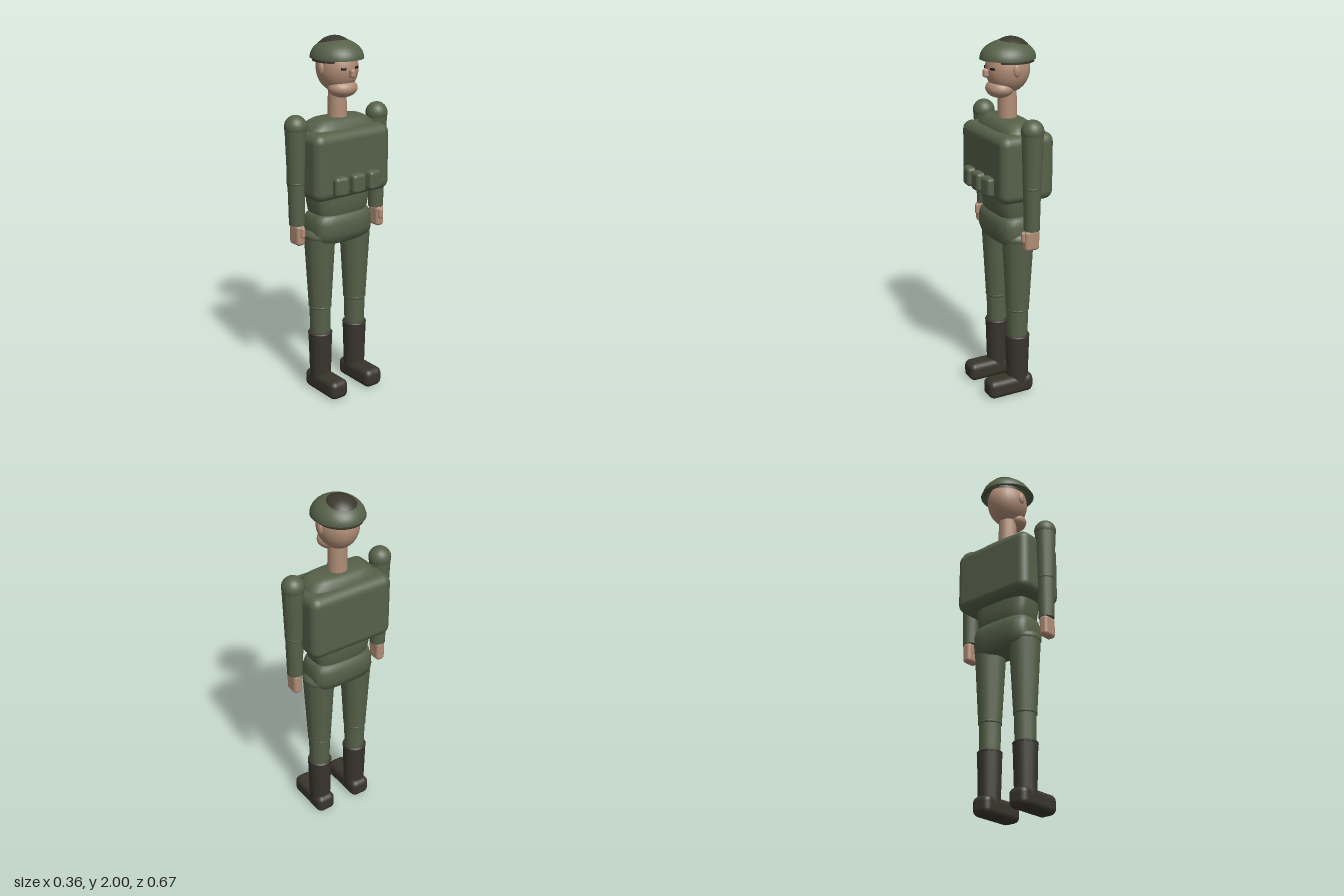
import * as THREE from 'three';
import { RoundedBoxGeometry } from 'three/addons/geometries/RoundedBoxGeometry.js';

const paint = (name, color) => {
  const m = new THREE.MeshStandardMaterial({ color });
  m.name = name;
  return m;
};

// Closed body from rows of [y, centreX, radiusX, radiusZ] with squarish cross-sections
function loft(rows, squareness = 0.6, sides = 24) {
  const pos = [], idx = [];
  const power = (v) => Math.sign(v) * Math.pow(Math.abs(v), squareness);
  for (const [y, cx, rx, rz] of rows) {
    for (let j = 0; j < sides; j++) {
      const a = (j / sides) * Math.PI * 2;
      pos.push(cx + rx * power(Math.cos(a)), y, rz * power(Math.sin(a)));
    }
  }
  for (let i = 0; i < rows.length - 1; i++) {
    for (let j = 0; j < sides; j++) {
      const a = i * sides + j, b = i * sides + (j + 1) % sides;
      idx.push(a, a + sides, b, b, a + sides, b + sides);
    }
  }
  const g = new THREE.BufferGeometry();
  g.setAttribute('position', new THREE.Float32BufferAttribute(pos, 3));
  g.setIndex(idx);
  g.computeVertexNormals();
  return g;
}

export function createModel() {
  const root = new THREE.Group();
  root.name = 'soldier';
  const green = paint('uniform green', 0x566149);
  const skin = paint('skin', 0xb08d76);
  const hairMat = paint('dark hair', 0x3a372d);
  const boot = paint('boot leather', 0x38352c);
  const dark = paint('eye black', 0x1c1a18);
  const CX = -0.023;

  const add = (name, geo, mat, x, y, z, parent = root) => {
    const m = new THREE.Mesh(geo, mat);
    m.name = name;
    m.position.set(x, y, z);
    parent.add(m);
    return m;
  };
  const ball = (name, mat, x, y, z, rx, ry, rz, parent = root) => {
    const m = add(name, new THREE.SphereGeometry(1, 24, 16), mat, x, y, z, parent);
    m.scale.set(rx, ry, rz);
    return m;
  };
  const box = (name, mat, x, y, z, w, h, d, r, parent = root) =>
    add(name, new RoundedBoxGeometry(w, h, d, 3, r), mat, x, y, z, parent);
  const limb = (name, mat, x, z, y0, y1, r0, r1, parent = root) =>
    add(name, new THREE.CylinderGeometry(r1, r0, y1 - y0, 14), mat, x, (y0 + y1) / 2, z, parent);

  // Head
  const head = new THREE.Group();
  head.name = 'head';
  root.add(head);
  ball('skull', skin, -0.025, 1.835, 0, 0.122, 0.13, 0.108, head);
  ball('jaw', skin, 0.023, 1.733, 0, 0.073, 0.05, 0.083, head);
  box('nose', skin, 0.1, 1.82, 0, 0.04, 0.045, 0.028, 0.012, head);
  limb('neck', skin, CX, 0, 1.54, 1.74, 0.054, 0.05, head);
  for (const s of [1, -1]) {
    ball('ear', skin, -0.025, 1.838, s * 0.107, 0.022, 0.034, 0.013, head);
    const eye = box('eye', dark, 0.087, 1.845, s * 0.043, 0.009, 0.013, 0.03, 0.004, head);
    eye.rotation.y = -s * 0.42;
  }

  // Hair showing through the crown of the helmet
  const dome = new THREE.SphereGeometry(1, 32, 12, 0, Math.PI * 2, 0, Math.PI / 2);
  const hair = add('hair', dome, hairMat, -0.043, 1.87, 0, head);
  hair.scale.set(0.126, 0.13, 0.118);

  // Helmet shell, open below, with a thin lower rim
  const shellMat = green.clone();
  shellMat.name = 'helmet green';
  shellMat.side = THREE.DoubleSide;
  const shell = add('helmetShell', dome, shellMat, -0.026, 1.887, 0, head);
  shell.scale.set(0.152, 0.1, 0.138);
  const rim = add('helmetRim', new THREE.RingGeometry(0.12, 0.153, 32), green, -0.026, 1.886, 0, head);
  rim.rotation.x = Math.PI / 2;

  // Torso, waist and hips
  add('torso', loft([
    [1.14, CX, 0.1, 0.17], [1.3, CX, 0.11, 0.2], [1.5, CX, 0.112, 0.215],
    [1.535, CX, 0.105, 0.208], [1.56, CX, 0.085, 0.175], [1.575, CX, 0.065, 0.145], [1.577, CX, 0.001, 0.001],
  ]), green, 0, 0, 0);
  box('vest', green, -0.022, 1.343, 0, 0.315, 0.365, 0.5, 0.05);
  add('waist', loft([
    [1.03, CX, 0.085, 0.155], [1.07, CX, 0.1, 0.168], [1.12, CX, 0.104, 0.177], [1.18, CX, 0.104, 0.18],
  ]), green, 0, 0, 0);
  add('hips', loft([
    [0.884, CX, 0.001, 0.001], [0.885, CX, 0.07, 0.155], [0.905, CX, 0.1, 0.18], [0.95, CX, 0.116, 0.192],
    [1.01, CX, 0.117, 0.188], [1.045, CX, 0.105, 0.18], [1.06, CX, 0.085, 0.165], [1.062, CX, 0.001, 0.001],
  ]), green, 0, 0, 0);

  // Pouches across the front of the vest
  for (const i of [-1, 0, 1]) {
    const p = box('pouch', green, 0.148 - Math.abs(i) * 0.003, 1.242, i * 0.11, 0.062, 0.105, 0.085, 0.02);
    p.rotation.y = -i * 0.12;
  }

  // Arms and legs, mirrored
  for (const s of [1, -1]) {
    const arm = new THREE.Group();
    arm.name = 'arm';
    root.add(arm);
    const az = s * 0.273;
    ball('shoulder', green, CX, 1.555, az, 0.061, 0.061, 0.061, arm);
    limb('upperArm', green, CX, az, 1.25, 1.555, 0.049, 0.059, arm);
    ball('elbow', green, CX, 1.255, az, 0.05, 0.02, 0.05, arm);
    limb('forearm', green, CX, az, 1.02, 1.26, 0.043, 0.048, arm);
    box('hand', skin, -0.019, 0.967, s * 0.274, 0.086, 0.115, 0.052, 0.018, arm);
    box('thumb', skin, 0.023, 0.985, s * 0.27, 0.028, 0.062, 0.028, 0.012, arm);

    const leg = new THREE.Group();
    leg.name = 'leg';
    root.add(leg);
    const lz = s * 0.122;
    ball('hipJoint', green, CX, 0.935, lz, 0.09, 0.05, 0.09, leg);
    limb('thigh', green, CX, lz, 0.51, 0.935, 0.064, 0.088, leg);
    ball('knee', green, CX, 0.515, lz, 0.065, 0.022, 0.065, leg);
    limb('calf', green, CX, lz, 0.33, 0.515, 0.057, 0.061, leg);
    limb('bootShaft', boot, CX, lz, 0.07, 0.35, 0.06, 0.068, leg);
    ball('bootCuff', boot, CX, 0.35, lz, 0.069, 0.018, 0.069, leg);
    box('bootFoot', boot, 0.033, 0.056, lz, 0.276, 0.108, 0.116, 0.035, leg);
  }
  return root;
}
